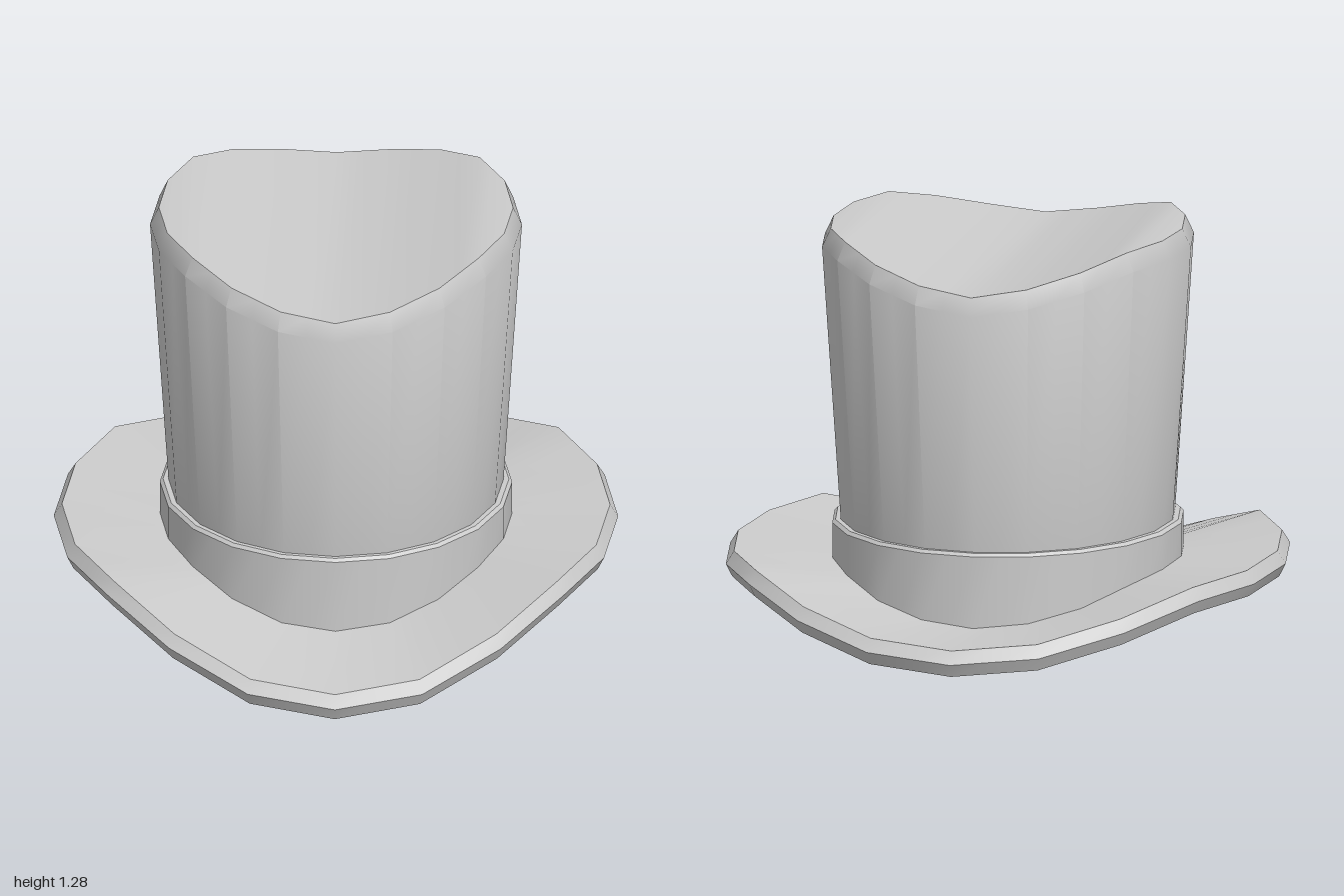
import * as THREE from 'three';
import { toCreasedNormals } from 'three/addons/utils/BufferGeometryUtils.js';

const STEPS = 40; // samples per ring, divisible by both 20 and 8 sides

// One polygonal ring: half-width, half-depth and the height (a number, or
// heights at the corners from front to back, mirrored left and right).
function ring(rx, rz, height, sides = 20) {
  const n = Array.isArray(height) ? (height.length - 1) * 2 : sides;
  const corner = (j) => {
    const k = j % n;
    const a = (k / n) * Math.PI * 2;
    const y = Array.isArray(height) ? height[Math.min(k, n - k)] : height;
    return new THREE.Vector3(rx * Math.sin(a), y, rz * Math.cos(a));
  };
  return Array.from({ length: STEPS }, (_, i) => {
    const t = (i / STEPS) * n;
    const j = Math.floor(t);
    return corner(j).lerp(corner(j + 1), t - j);
  });
}

function quad(out, a, b, c, d) {
  for (const [p, q, r] of [[a, b, c], [a, c, d]]) {
    const area = q.clone().sub(p).cross(r.clone().sub(p)).length();
    if (area > 1e-7) out.push(...p.toArray(), ...q.toArray(), ...r.toArray());
  }
}

// Skin a list of rings; optionally close the last one with strips running front to back.
function loft(name, rings, material, capLast = false) {
  const out = [];
  for (let k = 0; k < rings.length - 1; k++) {
    for (let i = 0; i < STEPS; i++) {
      const j = (i + 1) % STEPS;
      quad(out, rings[k][i], rings[k][j], rings[k + 1][j], rings[k + 1][i]);
    }
  }
  if (capLast) {
    const last = rings[rings.length - 1];
    const at = (i) => last[(i + STEPS) % STEPS];
    const half = STEPS / 2;
    for (let i = -STEPS / 4; i < STEPS / 4; i++) {
      quad(out, at(i), at(i + 1), at(half - i - 1), at(half - i));
    }
  }
  const geometry = new THREE.BufferGeometry();
  geometry.setAttribute('position', new THREE.Float32BufferAttribute(out, 3));
  const mesh = new THREE.Mesh(toCreasedNormals(geometry, 0.6), material);
  mesh.name = name;
  return mesh;
}

export function createModel() {
  const group = new THREE.Group();
  group.name = 'topHat';
  const material = new THREE.MeshStandardMaterial({ color: 0xcccccc });

  // Heights from front to back
  const rim = [0, 0.03, 0.12, 0.2, 0.2, 0.2, 0.2, 0.2, 0.14, 0.08, 0.06];
  const brimInner = [0.125, 0.14, 0.18, 0.225, 0.245, 0.25, 0.245, 0.225, 0.18, 0.145, 0.13];
  const opening = [0.09, 0.13, 0.17, 0.13, 0.09];
  const crownTop = [1.175, 1.2, 1.24, 1.278, 1.28, 1.278, 1.28, 1.278, 1.24, 1.2, 1.175];
  const raise = (heights, dy) => heights.map((y) => y + dy);

  // Curled brim: underside, bevelled edge, upper side
  group.add(loft('brim', [
    ring(0.43, 0.51, opening),
    ring(0.845, 0.98, rim),
    ring(0.865, 1.0, raise(rim, 0.04)),
    ring(0.84, 0.975, raise(rim, 0.08)),
    ring(0.525, 0.585, brimInner),
  ], material));

  // Eight-sided head opening
  group.add(loft('headOpening', [
    ring(0, 0, 1.0, 8),
    ring(0.43, 0.51, 1.0, 8),
    ring(0.43, 0.51, opening),
  ], material));

  // Band with a narrow ledge
  group.add(loft('band', [
    ring(0.54, 0.6, raise(brimInner, -0.02)),
    ring(0.54, 0.6, 0.355),
    ring(0.53, 0.592, 0.365),
    ring(0.505, 0.57, 0.365),
  ], material));

  // Flared crown with bevelled edge and a top dipping at front and back
  group.add(loft('crown', [
    ring(0.513, 0.577, 0.355),
    ring(0.57, 0.66, raise(crownTop, -0.057)),
    ring(0.543, 0.637, crownTop),
  ], material, true));

  return group;
}
